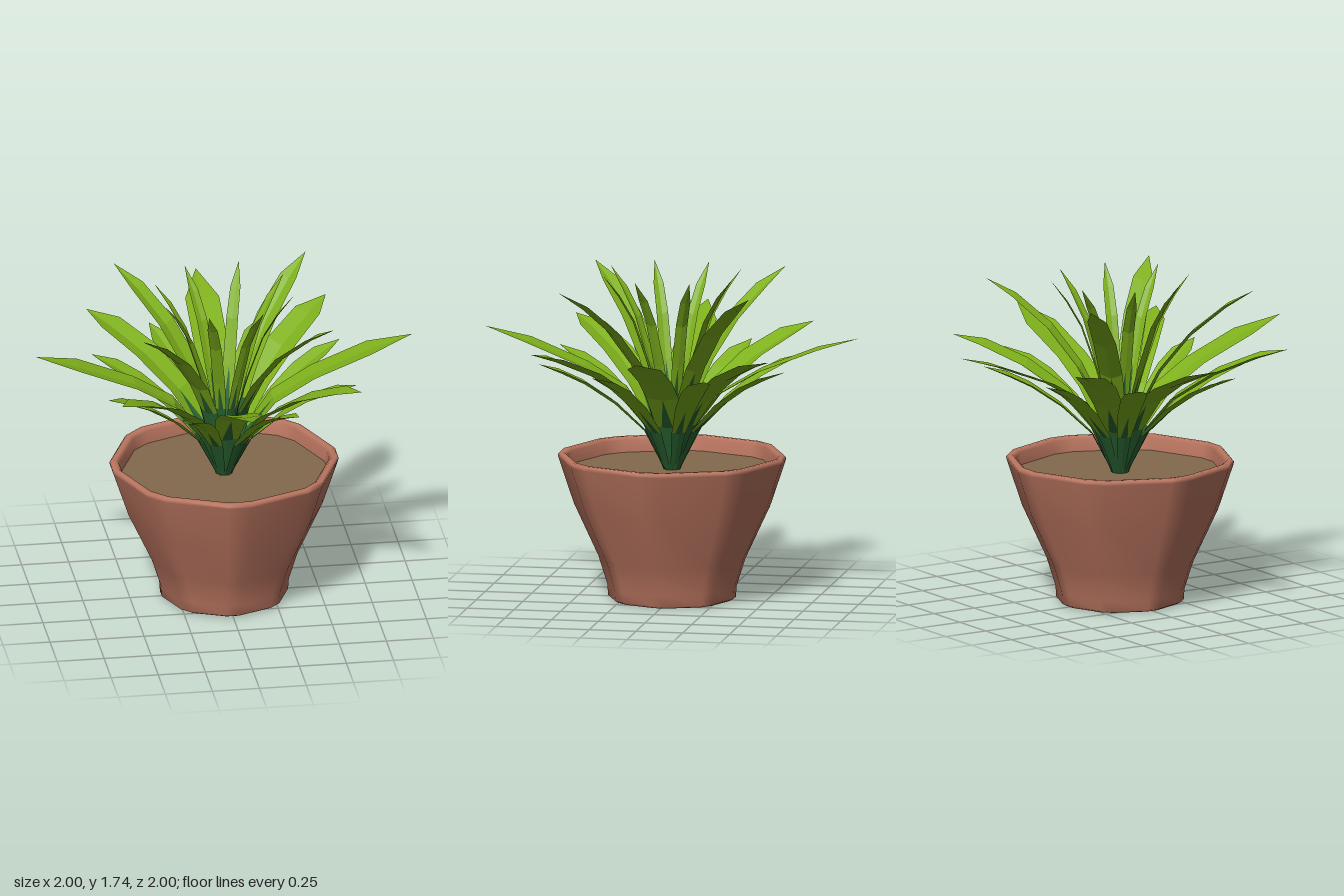
import * as THREE from 'three';
import { mergeVertices } from 'three/addons/utils/BufferGeometryUtils.js';

const material = (name, color, side = THREE.FrontSide) => {
  const m = new THREE.MeshStandardMaterial({ color, side });
  m.name = name;
  return m;
};

// Leaf rows run from root to tip: [distance from the axis, height, half width]
const leafKinds = [
  { name: 'longLeaf', angles: [0], fold: 0.12,
    rows: [[0.035, 0.68, 0.025], [0.13, 0.93, 0.06], [0.26, 1.1, 0.088], [0.47, 1.225, 0.09], [0.77, 1.345, 0.09], [1, 1.42, 0]] },
  { name: 'diagonalLeaf', angles: [45], fold: 0.28,
    rows: [[0.035, 0.68, 0.025], [0.15, 0.93, 0.055], [0.29, 1.09, 0.08], [0.51, 1.235, 0.09], [0.74, 1.335, 0.08], [0.9, 1.39, 0]] },
  { name: 'lowLeaf', angles: [24.5, -24.5], fold: 0.28,
    rows: [[0.035, 0.68, 0.018], [0.15, 0.9, 0.038], [0.31, 1.05, 0.058], [0.47, 1.16, 0.066], [0.6, 1.225, 0.06], [0.725, 1.28, 0]] },
  { name: 'upperLeaf', angles: [45], fold: 0.35,
    rows: [[0.015, 0.68, 0.025], [0.13, 1.07, 0.055], [0.22, 1.24, 0.062], [0.38, 1.44, 0.062], [0.57, 1.6, 0.052], [0.72, 1.7, 0]] },
  { name: 'innerLeaf', angles: [-20.5, 25], fold: 0.45,
    rows: [[0, 0.68, 0.018], [0.08, 1.08, 0.028], [0.13, 1.25, 0.033], [0.21, 1.48, 0.031], [0.29, 1.62, 0.027], [0.375, 1.74, 0]] },
];

// Folded blade along +x; returns the dark root and the bright blade
function leafGeometries({ rows, fold }) {
  const across = [-1, -0.5, 0, 0.5, 1];
  const grid = rows.map(([r, y, w]) => across.map(u => [r, y + Math.abs(u) * w * fold, u * w]));
  const root = [], blade = [];
  const tri = (list, a, b, c) => list.push(...a, ...b, ...c);
  for (let i = 0; i < rows.length - 1; i++) {
    for (let j = 0; j < 4; j++) {
      const a = grid[i][j], b = grid[i][j + 1], c = grid[i + 1][j + 1], d = grid[i + 1][j];
      const list = i === 0 ? root : blade;
      if (i === rows.length - 2) {
        tri(list, a, b, c);
      } else if (j < 2) {
        // the dark root ends in a central spike
        tri(i === 1 && j === 1 ? root : list, a, b, c);
        tri(list, a, c, d);
      } else {
        tri(i === 1 && j === 2 ? root : list, a, b, d);
        tri(list, b, c, d);
      }
    }
  }
  return [root, blade].map(points => {
    const g = new THREE.BufferGeometry();
    g.setAttribute('position', new THREE.Float32BufferAttribute(points, 3));
    g.computeVertexNormals();
    return g;
  });
}

// Lathe with eight flat sides and narrow softened corners
function octagonLathe(profile) {
  const lathe = new THREE.LatheGeometry(profile.map(([x, y]) => new THREE.Vector2(x, y)), 16);
  const p = lathe.attributes.position;
  for (let i = 0; i < p.count; i++) {
    const step = Math.floor(i / profile.length) % 16;
    const corner = Math.floor(step / 2) * 45 + (step % 2 ? 6 : -6);
    const angle = THREE.MathUtils.degToRad(corner);
    const radius = profile[i % profile.length][0];
    p.setX(i, radius * Math.sin(angle));
    p.setZ(i, radius * Math.cos(angle));
  }
  lathe.deleteAttribute('uv');
  lathe.deleteAttribute('normal');
  const g = mergeVertices(lathe);
  g.computeVertexNormals();
  return g;
}

export function createModel() {
  const model = new THREE.Group();
  model.name = 'pottedPlant';
  const terracotta = material('terracotta', 0xbb7660);
  const soilBrown = material('soilBrown', 0x82694c);
  const leafGreen = material('leafGreen', 0x7eb01c, THREE.DoubleSide);
  const rootGreen = material('rootGreen', 0x2a6432, THREE.DoubleSide);

  const add = (name, geometry, mat, parent = model) => {
    const mesh = new THREE.Mesh(geometry, mat);
    mesh.name = name;
    parent.add(mesh);
  };

  // Eight-sided pot with a soft rim and a hollow top
  add('pot', octagonLathe([
    [0, 0], [0.315, 0], [0.337, 0.012], [0.341, 0.07], [0.388, 0.22], [0.518, 0.5],
    [0.6, 0.745], [0.603, 0.76], [0.593, 0.77], [0.57, 0.77], [0.553, 0.755], [0.545, 0.67],
  ]), terracotta);

  // Soil surface
  add('soil', octagonLathe([[0.55, 0.69], [0, 0.69]]), soilBrown);

  // Leaves, each kind repeated around the four quarters
  for (const kind of leafKinds) {
    const [rootGeometry, bladeGeometry] = leafGeometries(kind);
    for (let quarter = 0; quarter < 4; quarter++) {
      for (const angle of kind.angles) {
        const leaf = new THREE.Group();
        leaf.name = kind.name;
        leaf.rotation.y = THREE.MathUtils.degToRad(angle + quarter * 90);
        add('leafRoot', rootGeometry, rootGreen, leaf);
        add('leafBlade', bladeGeometry, leafGreen, leaf);
        model.add(leaf);
      }
    }
  }
  return model;
}
